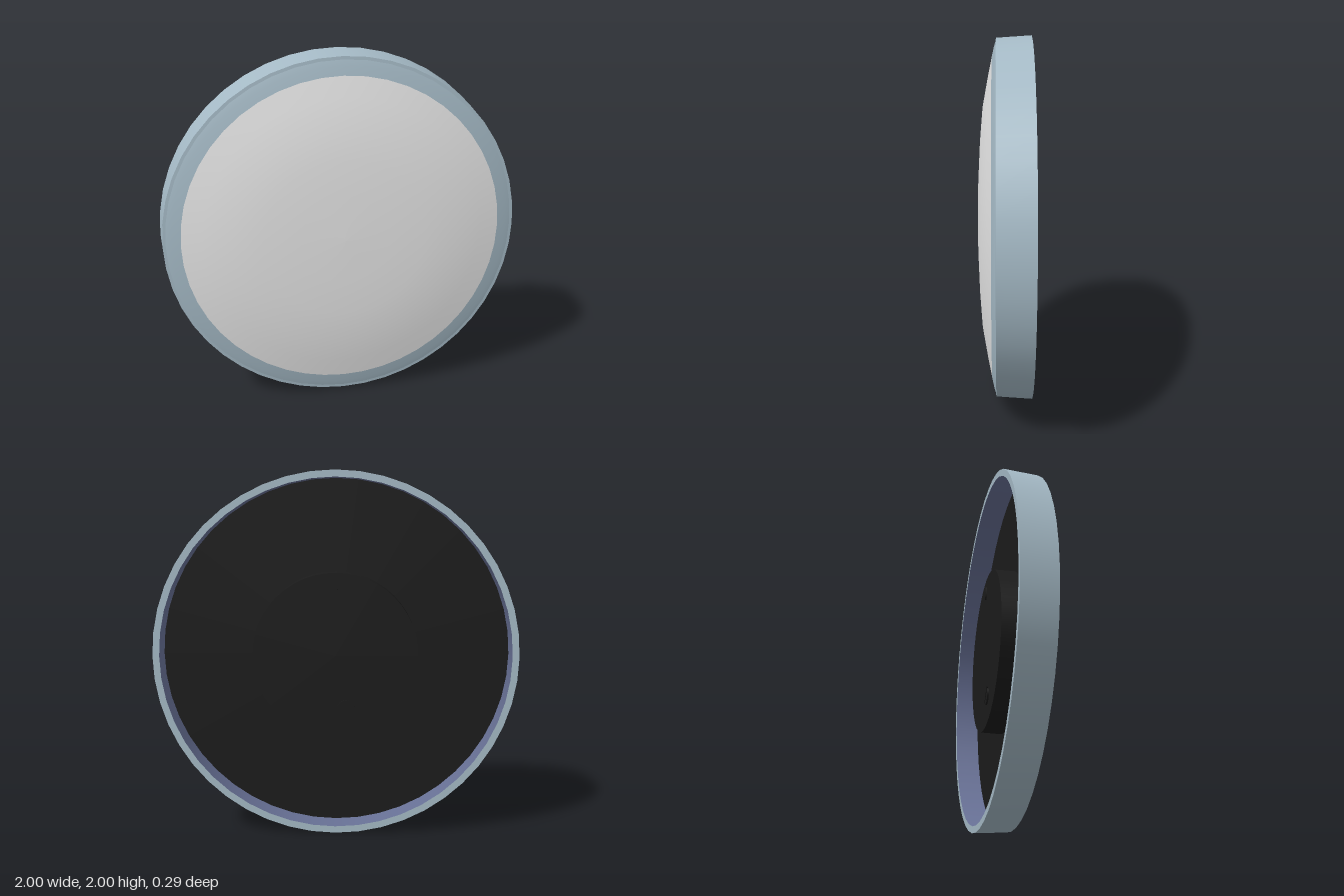
import * as THREE from 'three';

function material(name, color) {
  const m = new THREE.MeshStandardMaterial({ color });
  m.name = name;
  return m;
}

export function createModel() {
  const blue = material('blue grey rim', 0xa5bac6);
  const grey = material('light grey lens', 0xe6e6e6);
  const slate = material('slate inner wall', 0x687196);
  const black = material('black backing', 0x1b1b1b);

  const lamp = new THREE.Group();
  lamp.name = 'roundLamp';
  lamp.position.y = 1;

  // Smooth band turned about the z axis from [radius, z] pairs
  function band(name, mat, profile, segments = 48) {
    const points = profile.map(([r, z]) => new THREE.Vector2(r, z));
    const geometry = new THREE.LatheGeometry(points, segments).rotateX(Math.PI / 2);
    const mesh = new THREE.Mesh(geometry, mat);
    mesh.name = name;
    lamp.add(mesh);
  }

  // Rim: back edge, tapered outside wall, flat lip, sloping bezel and inside wall
  band('rimBackEdge', blue, [[0.963, -0.145], [1, -0.145]]);
  band('rimOuterWall', blue, [[1, -0.145], [0.987, 0.045]]);
  band('rimLip', blue, [[0.987, 0.045], [0.97, 0.047]]);
  band('rimFrontBezel', blue, [[0.97, 0.047], [0.94, 0.056], [0.89, 0.067]]);
  band('rimInnerWall', slate, [[0.963, -0.008], [0.963, -0.145]]);

  // Shallow domed lens
  band('lens', grey, [[0.89, 0.067], [0.78, 0.089], [0.62, 0.118], [0.45, 0.132], [0.25, 0.142], [0, 0.145]]);

  // Back plate and raised hub
  band('backPlate', black, [[0, -0.008], [0.963, -0.008]]);
  band('hubFace', black, [[0, -0.125], [0.455, -0.125]]);
  band('hubWall', black, [[0.455, -0.125], [0.457, -0.008]]);

  // Thin raised plate on the hub face
  function plate(name, shape, x, y, turn = 0) {
    const geometry = new THREE.ExtrudeGeometry(shape, { depth: 0.009, bevelEnabled: false, curveSegments: 12 });
    const mesh = new THREE.Mesh(geometry, black);
    mesh.name = name;
    mesh.position.set(x, y, -0.134);
    mesh.rotation.z = turn;
    lamp.add(mesh);
  }

  // Narrow upright tab near the top of the hub
  plate('hubTab', new THREE.Shape().absellipse(0, 0, 0.014, 0.042, 0, Math.PI * 2), 0, 0.365);

  // Screw head in two halves, leaving the driver slot between them
  const half = new THREE.Shape().absarc(0, 0, 0.05, 0.16, Math.PI - 0.16);
  for (const side of [0, Math.PI]) plate('screwHeadHalf', half, -0.06, -0.295, side - 0.8);

  const model = new THREE.Group();
  model.name = 'model';
  model.add(lamp);
  return model;
}
